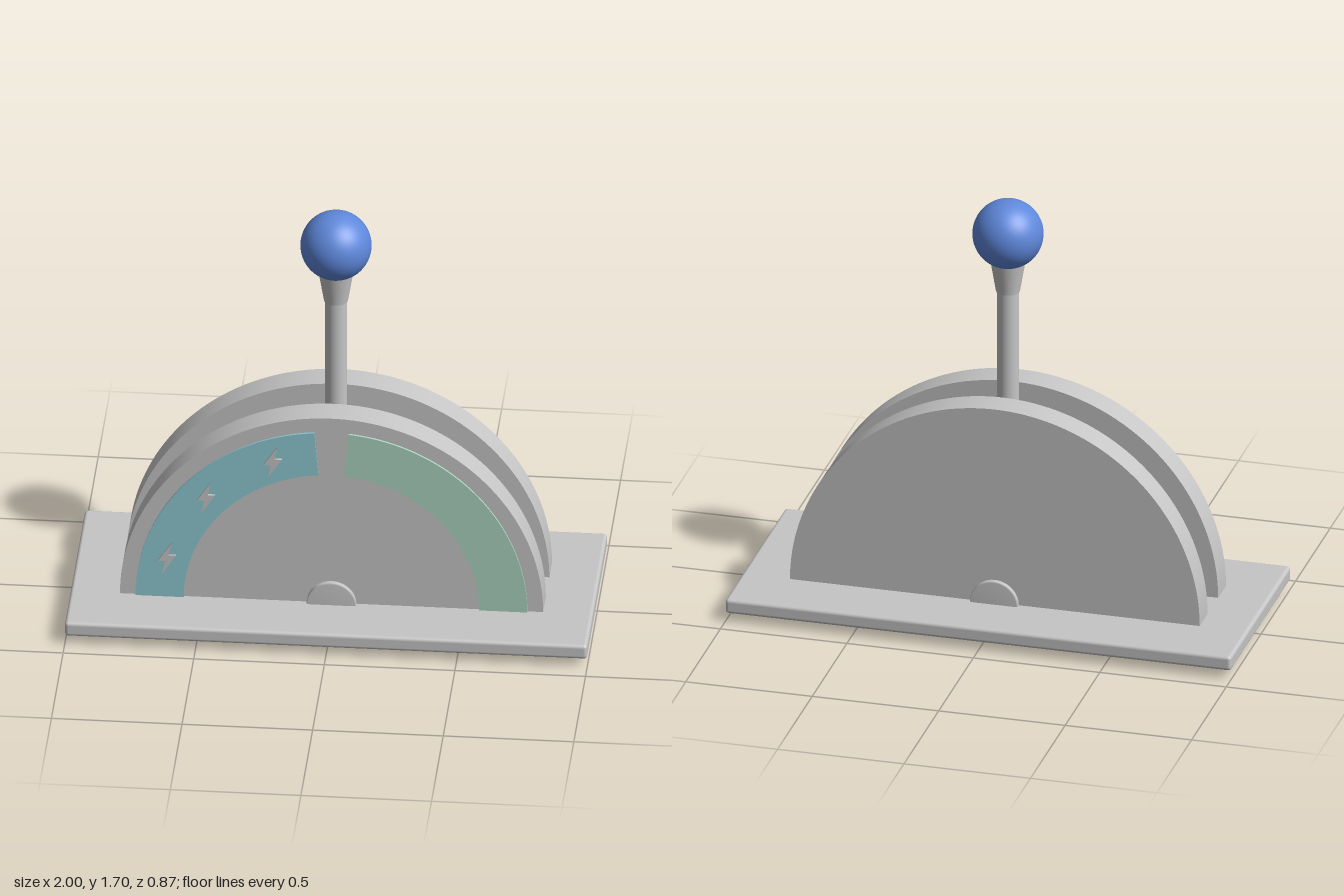
import * as THREE from 'three';
import { RoundedBoxGeometry } from 'three/addons/geometries/RoundedBoxGeometry.js';

const material = (name, color) => {
  const m = new THREE.MeshStandardMaterial({ color });
  m.name = name;
  return m;
};

export function createModel() {
  const model = new THREE.Group();
  model.name = 'leverSwitch';
  const grey = material('lightGrey', 0xc6c6c6);
  const blue = material('knobBlue', 0x5f88dc);
  const aqua = material('aqua', 0x8ec8d3);
  const mint = material('mint', 0xaad3c0);
  const pivotY = 0.095;

  const add = (name, geometry, mat, x = 0, y = 0, z = 0) => {
    const mesh = new THREE.Mesh(geometry, mat);
    mesh.name = name;
    mesh.position.set(x, y, z);
    model.add(mesh);
    return mesh;
  };

  // Base plate with softened edges
  add('basePlate', new RoundedBoxGeometry(2, 0.06, 0.87, 3, 0.014), grey, 0, 0.065, 0);

  // Two half discs with the slot for the lever between them
  for (const [name, z] of [['frontHalfDisc', 0.133], ['backHalfDisc', -0.133]]) {
    const disc = new THREE.CylinderGeometry(0.81, 0.81, 0.114, 96, 1, false, Math.PI / 2, Math.PI);
    add(name, disc.rotateX(Math.PI / 2), grey, 0, pivotY, z);
  }

  // Axle running through both discs and just below the base
  const axleProfile = [[0, -0.21], [0.09, -0.21], [0.095, -0.205], [0.095, 0.205], [0.09, 0.21], [0, 0.21]]
    .map(([r, y]) => new THREE.Vector2(r, y));
  const axle = new THREE.LatheGeometry(axleProfile, 48);
  add('axle', axle.rotateX(Math.PI / 2), grey, 0, pivotY, 0);

  // Lever: socket, rod, flared collar and ball
  add('leverSocket', new THREE.CylinderGeometry(0.06, 0.06, 0.21, 40), grey, 0, 0.245, 0);
  add('leverRod', new THREE.CylinderGeometry(0.042, 0.042, 1.0, 40), grey, 0, 0.83, 0);
  add('leverCollar', new THREE.CylinderGeometry(0.068, 0.046, 0.13, 40), grey, 0, 1.385, 0);
  add('leverKnob', new THREE.SphereGeometry(0.136, 48, 32), blue, 0, 1.56, 0);

  // Curved indicator panels on the front disc
  const panel = (name, start, end, mat) => {
    const shape = new THREE.Shape();
    shape.absarc(0, 0, 0.75, start, end, false);
    shape.absarc(0, 0, 0.565, end, start, true);
    shape.closePath();
    const geometry = new THREE.ExtrudeGeometry(shape, { depth: 0.009, bevelEnabled: false, curveSegments: 48 });
    add(name, geometry, mat, 0, pivotY, 0.19);
  };
  const gap = THREE.MathUtils.degToRad(5);
  panel('rightPanel', Math.PI / 2 + gap, Math.PI, aqua);
  panel('leftPanel', 0, Math.PI / 2 - gap, mint);

  // Raised lightning bolts
  const boltShape = new THREE.Shape([
    [0.018, 0.066], [-0.034, -0.012], [-0.006, -0.012], [-0.018, -0.068], [0.036, 0.014], [0.008, 0.014],
  ].map(([x, y]) => new THREE.Vector2(x, y)));
  const boltGeometry = new THREE.ExtrudeGeometry(boltShape, { depth: 0.009, bevelEnabled: false });
  for (const [x, y] of [[-0.225, 0.71], [-0.48, 0.54], [-0.63, 0.267]]) {
    add('bolt', boltGeometry, grey, x, y, 0.199);
  }

  return model;
}
